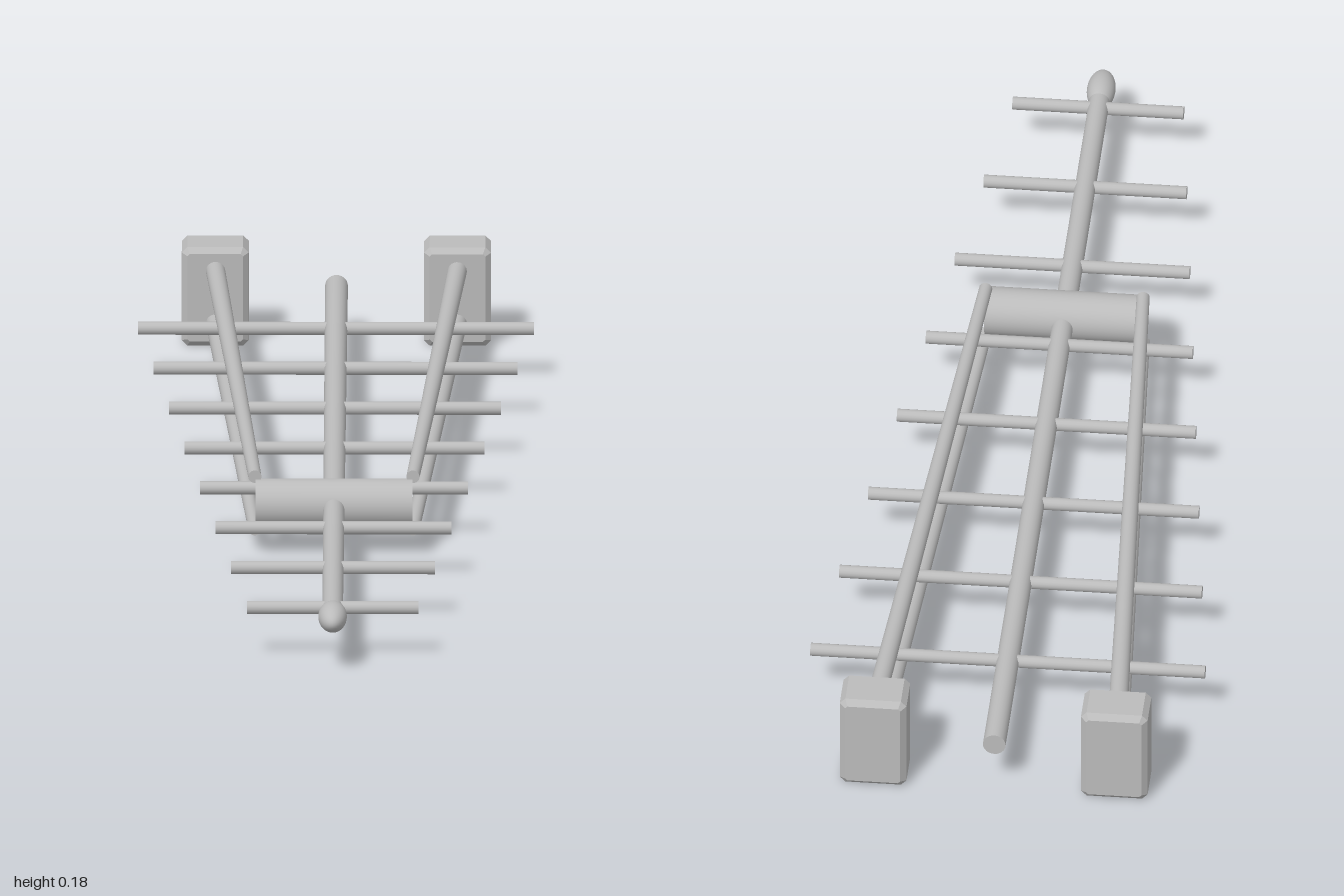
import * as THREE from 'three';

const AXIS_Y = 0.092;

export function createModel() {
  const group = new THREE.Group();
  const grey = new THREE.MeshStandardMaterial({ color: 0xbbbbbb });
  grey.name = 'light metal grey';

  const add = (name, geometry) => {
    const mesh = new THREE.Mesh(geometry, grey);
    mesh.name = name;
    group.add(mesh);
    return mesh;
  };

  // Round bar from a to b, tapering from ra to rb
  const bar = (name, a, b, ra, rb, sides = 24) => {
    const dir = b.clone().sub(a);
    const mesh = add(name, new THREE.CylinderGeometry(rb, ra, dir.length(), sides));
    mesh.position.copy(a).add(b).multiplyScalar(0.5);
    mesh.quaternion.setFromUnitVectors(new THREE.Vector3(0, 1, 0), dir.normalize());
  };
  const v = (x, y, z) => new THREE.Vector3(x, y, z);

  // Box with every edge chamfered by c
  const chamferedBox = (w, h, d, c) => {
    const x = w / 2 - c, y = h / 2 - c, k = c * 0.4;
    const shape = new THREE.Shape([
      [-x + k, -y], [x - k, -y], [x, -y + k], [x, y - k],
      [x - k, y], [-x + k, y], [-x, y - k], [-x, -y + k],
    ].map(p => new THREE.Vector2(...p)));
    const g = new THREE.ExtrudeGeometry(shape, {
      depth: d - 2 * c, bevelEnabled: true, bevelSize: c, bevelThickness: c, bevelSegments: 1,
    });
    return g.translate(0, 0, -d / 2 + c);
  };

  // Central boom with its pointed nose
  bar('boom', v(0, AXIS_Y, -0.98), v(0, AXIS_Y, 0.94), 0.02, 0.018);
  const nose = add('nose', new THREE.SphereGeometry(1, 32, 20));
  nose.scale.set(0.025, 0.025, 0.05);
  nose.position.set(0, AXIS_Y, 0.95);

  // Cross elements, longest at the back
  for (let i = 0; i < 8; i++) {
    const z = -0.732 + i * 0.2327;
    const half = 0.346 - i * 0.028;
    bar('crossElement', v(-half, AXIS_Y, z), v(half, AXIS_Y, z), 0.0115, 0.0115, 16);
  }

  // Drum across the boom
  bar('drum', v(-0.137, AXIS_Y, 0.287), v(0.137, AXIS_Y, 0.287), 0.043, 0.043, 32);

  // End blocks and the paired struts running to the drum
  for (const side of [-1, 1]) {
    add('endBlock', chamferedBox(0.117, 0.18, 0.088, 0.01)).position.set(side * 0.2115, 0.091, -0.956);
    for (const dy of [-0.048, 0.048]) {
      bar('strut', v(side * 0.212, AXIS_Y + dy, -0.93), v(side * 0.138, AXIS_Y + dy, 0.287), 0.017, 0.0115);
    }
  }
  return group;
}
